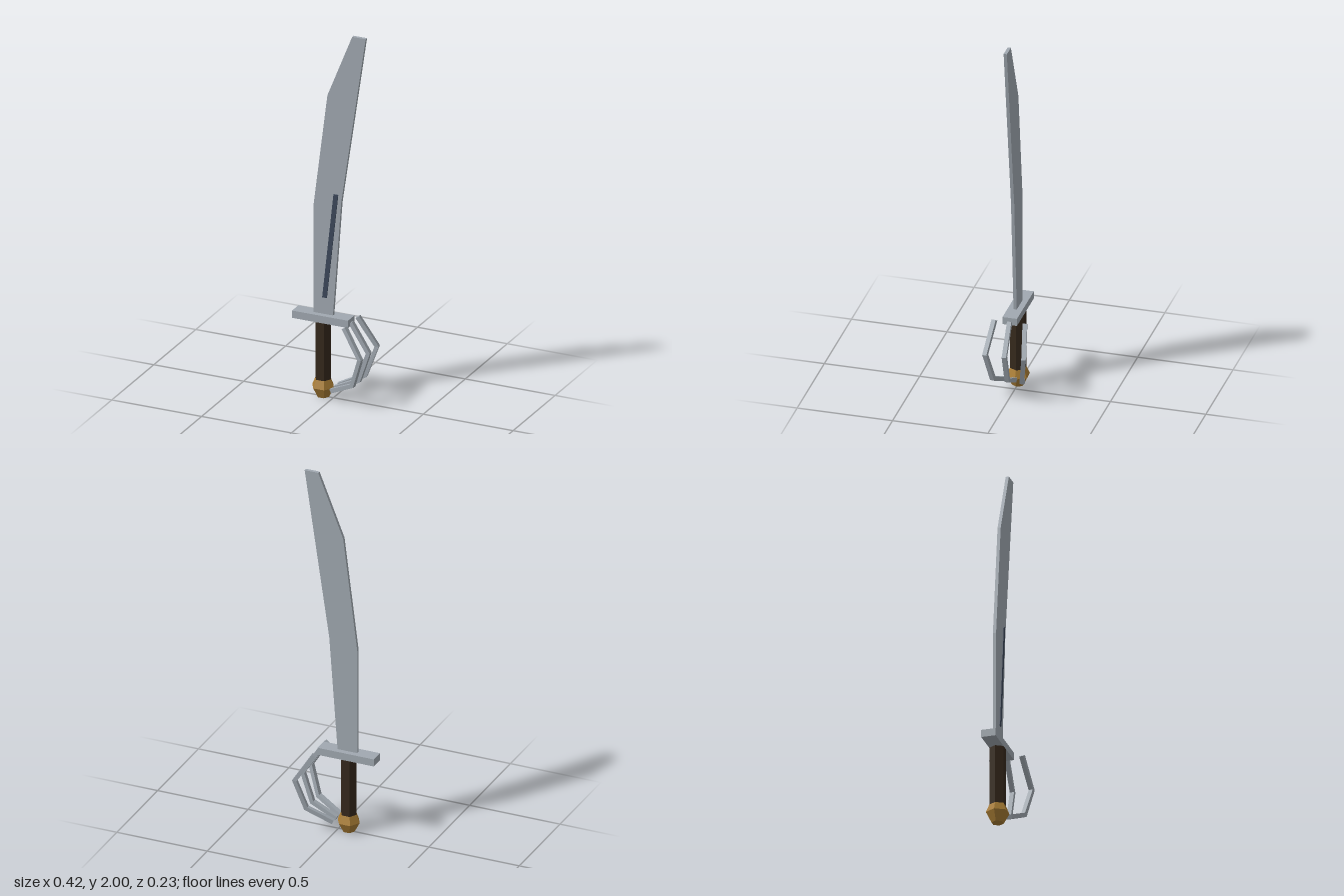
import * as THREE from 'three';
import { ConvexGeometry } from 'three/addons/geometries/ConvexGeometry.js';

const material = (name, color) => {
  const m = new THREE.MeshStandardMaterial({ color });
  m.name = name;
  return m;
};

// Extruded outline in the xy plane, spanning z0 to z1
function plate(points, z0, z1) {
  const shape = new THREE.Shape(points.map(([x, y]) => new THREE.Vector2(x, y)));
  return new THREE.ExtrudeGeometry(shape, { depth: z1 - z0, bevelEnabled: false }).translate(0, 0, z0);
}

// Faceted six-sided turning with corners pointing along x
function hexTurning(profile) {
  const points = profile.map(([r, y]) => new THREE.Vector2(r, y));
  const g = new THREE.LatheGeometry(points, 6).rotateY(Math.PI / 2).toNonIndexed();
  g.computeVertexNormals();
  return g;
}

// Square bar following a path, with mitred joints
function barSegments(path, lateral, half) {
  const rings = path.map((p, i) => {
    const a = path[Math.max(i - 1, 0)];
    const b = path[Math.min(i + 1, path.length - 1)];
    const before = p.clone().sub(a).normalize();
    const after = b.clone().sub(p).normalize();
    const tangent = before.add(after).normalize();
    const normal = tangent.cross(lateral).normalize();
    return [[-1, -1], [1, -1], [1, 1], [-1, 1]].map(([u, v]) =>
      p.clone().addScaledVector(normal, u * half).addScaledVector(lateral, v * half));
  });
  return rings.slice(1).map((ring, i) => new ConvexGeometry([...rings[i], ...ring]));
}

export function createModel() {
  const steel = material('steel', 0xa0a8b0);
  const groove = material('dark blue steel', 0x3c485a);
  const leather = material('dark brown leather', 0x35281c);
  const brass = material('brass', 0xa87c34);

  const model = new THREE.Group();
  model.name = 'cutlass';
  const add = (name, geometry, mat, parent = model) => {
    const mesh = new THREE.Mesh(geometry, mat);
    mesh.name = name;
    parent.add(mesh);
    return mesh;
  };

  // Blade and the groove on its front face
  add('blade', plate([
    [-0.108, 0.44], [0, 0.44], [0.047, 1.08], [0.183, 2],
    [0.108, 2], [-0.03, 1.655], [-0.108, 1.035],
  ], -0.009, 0.008), steel);
  add('bladeGroove', plate([
    [-0.057, 0.545], [-0.032, 0.545], [0.031, 1.12], [0.006, 1.12],
  ], 0.007, 0.013), groove);

  // Crossguard
  add('crossguard', new THREE.BoxGeometry(0.311, 0.04, 0.076), steel).position.set(-0.057, 0.434, 0);

  // Grip and pommel
  const axisX = -0.057;
  add('grip', hexTurning([[0.043, 0.09], [0.043, 0.42]]), leather).position.x = axisX;
  add('pommel', hexTurning([[0, 0], [0.032, 0], [0.061, 0.055], [0.043, 0.098], [0, 0.098]]),
    brass).position.x = axisX;

  // Three knuckle bars fanning out from the pommel: x, y and outward spread
  const path = [[0.009, 0.057, 0.043], [0.143, 0.122, 0.076], [0.196, 0.28, 0.101], [0.099, 0.432, 0.08]];
  [['right', 1], ['middle', 0], ['left', -1]].forEach(([label, side]) => {
    const bar = new THREE.Group();
    bar.name = `${['front', 'middle', 'back'][1 - side]}KnuckleBar`;
    const points = path.map(([x, y, z]) => new THREE.Vector3(x, y, z * side));
    const angle = 0.17 * side;
    const lateral = new THREE.Vector3(-Math.sin(angle), 0, Math.cos(angle));
    barSegments(points, lateral, 0.0115).forEach((g, i) => add(`barSegment${i + 1}`, g, steel, bar));
    model.add(bar);
  });

  return model;
}
